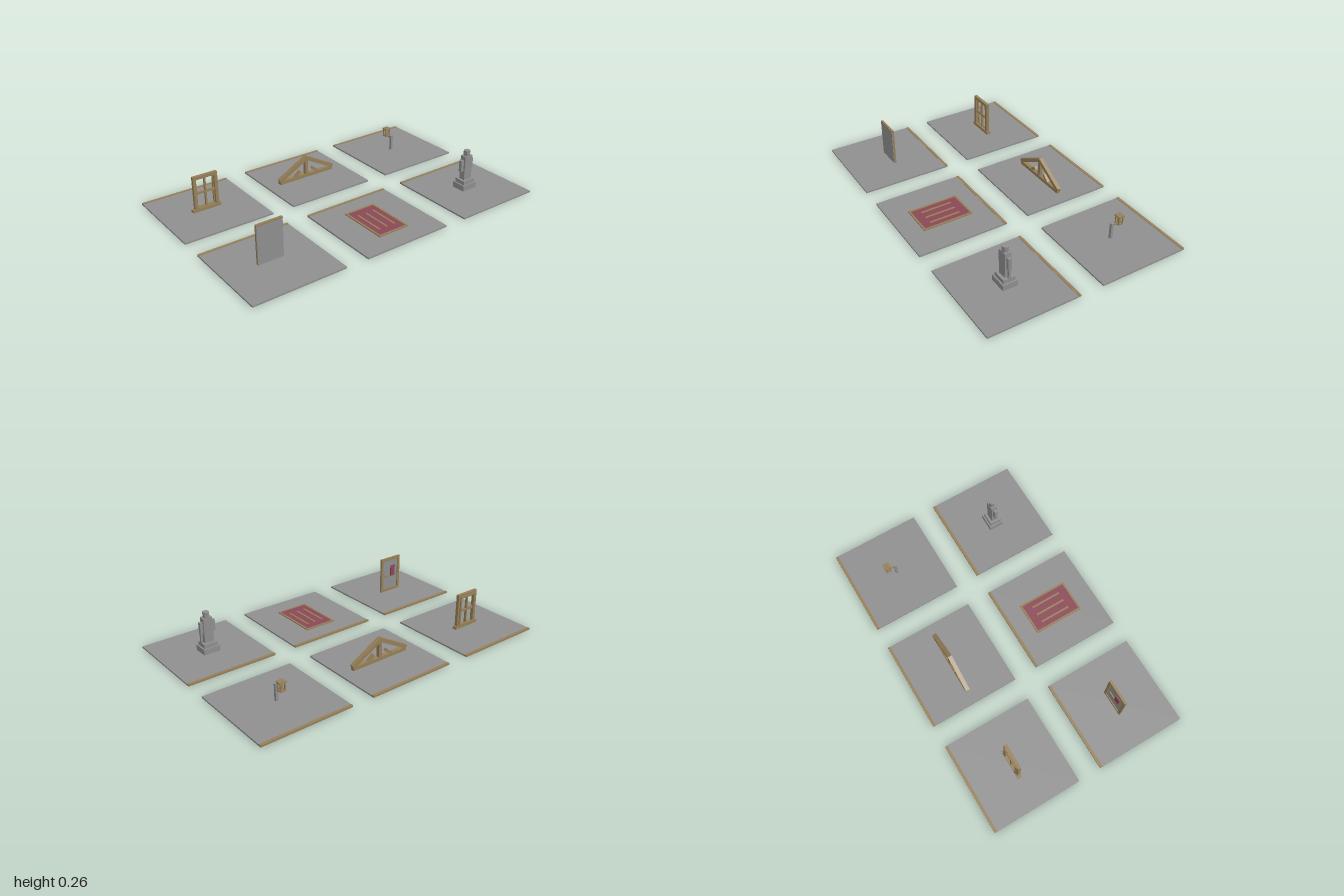
import * as THREE from 'three';

const mat = (name, color) => {
  const m = new THREE.MeshStandardMaterial({ color });
  m.name = name;
  return m;
};

export function createModel() {
  const stone = mat('grey stone', 0x8f8f8f);
  const wood = mat('tan wood', 0x967f58);
  const red = mat('faded red', 0x8a4856);
  const model = new THREE.Group();
  const DX = 0.714, DZ = 0.358, TOP = 0.01;

  const group = (name, x, z) => {
    const g = new THREE.Group();
    g.name = name;
    g.position.set(x, 0, z);
    model.add(g);
    return g;
  };
  // Box given by its limits on each axis
  const box = (parent, name, m, [x0, x1], [y0, y1], [z0, z1]) => {
    const mesh = new THREE.Mesh(new THREE.BoxGeometry(x1 - x0, y1 - y0, z1 - z0), m);
    mesh.position.set((x0 + x1) / 2, (y0 + y1) / 2, (z0 + z1) / 2);
    mesh.name = name;
    parent.add(mesh);
    return mesh;
  };
  // Plank running between two points in the XY plane
  const beam = (parent, name, a, b, width, depth) => {
    const dx = b[0] - a[0], dy = b[1] - a[1];
    const mesh = new THREE.Mesh(new THREE.BoxGeometry(Math.hypot(dx, dy), width, depth), wood);
    mesh.position.set((a[0] + b[0]) / 2, (a[1] + b[1]) / 2, 0);
    mesh.rotation.z = Math.atan2(dy, dx);
    mesh.name = name;
    parent.add(mesh);
  };
  // Rectangular frame with an opening
  const frame = (parent, name, w, y0, y1, bar, [z0, z1]) => {
    const s = new THREE.Shape([[-w, y0], [w, y0], [w, y1], [-w, y1]].map(p => new THREE.Vector2(...p)));
    const i = w - bar;
    s.holes.push(new THREE.Path([[-i, y0 + bar], [-i, y1 - bar], [i, y1 - bar], [i, y0 + bar]].map(p => new THREE.Vector2(...p))));
    const mesh = new THREE.Mesh(new THREE.ExtrudeGeometry(s, { depth: z1 - z0, bevelEnabled: false }), wood);
    mesh.position.z = z0;
    mesh.name = name;
    parent.add(mesh);
    return mesh;
  };

  // Six display tiles, each with a wooden strip along its back edge
  for (const x of [-DX, 0, DX]) for (const z of [-DZ, DZ]) {
    const t = group('tile', x, z);
    box(t, 'slab', stone, [-0.286, 0.286], [0, TOP], [-0.283, 0.285]);
    box(t, 'backStrip', wood, [-0.286, 0.286], [0.001, 0.0125], [-0.285, -0.268]);
  }

  // Window with sill and crossed bars
  const win = group('window', -DX, -DZ);
  frame(win, 'windowFrame', 0.079, TOP, 0.237, 0.02, [-0.009, 0.011]);
  frame(win, 'windowSash', 0.065, 0.022, 0.224, 0.012, [-0.015, -0.003]);
  box(win, 'sill', wood, [-0.094, 0.091], [TOP, 0.027], [-0.014, 0.014]);
  box(win, 'upright', wood, [-0.005, 0.005], [0.025, 0.22], [-0.009, 0.005]);
  box(win, 'crossbar', wood, [-0.062, 0.062], [0.12, 0.132], [-0.009, 0.006]);

  // Roof truss
  const truss = group('roofTruss', 0, -DZ);
  box(truss, 'tieBeam', wood, [-0.2, 0.2], [TOP, 0.032], [-0.013, 0.013]);
  box(truss, 'kingPost', wood, [-0.011, 0.011], [0.03, 0.135], [-0.011, 0.011]);
  for (const s of [-1, 1]) {
    beam(truss, 'rafter', [s * 0.202, 0.032], [s * -0.004, 0.145], 0.024, 0.026);
    beam(truss, 'strut', [s * 0.09, 0.024], [s * 0.046, 0.06], 0.017, 0.02);
  }

  // Hanging lantern on a post
  const lantern = group('lanternPost', 0.711, -DZ);
  box(lantern, 'post', stone, [-0.008, 0.008], [TOP, 0.113], [-0.002, 0.014]);
  box(lantern, 'arm', wood, [-0.003, 0.003], [0.094, 0.101], [-0.05, 0]);
  const L = -0.045;
  box(lantern, 'lanternRoof', wood, [-0.022, 0.022], [0.145, 0.152], [L - 0.02, L + 0.02]);
  box(lantern, 'lanternBase', wood, [-0.018, 0.018], [0.094, 0.101], [L - 0.017, L + 0.017]);
  for (const x of [-0.014, 0.014]) for (const z of [-0.013, 0.013])
    box(lantern, 'lanternBar', wood, [x - 0.003, x + 0.003], [0.1, 0.146], [L + z - 0.003, L + z + 0.003]);
  box(lantern, 'candle', wood, [-0.006, 0.006], [0.1, 0.13], [L - 0.006, L + 0.006]);

  // Door: stone-grey front, framed back with a red plate and latch
  const door = group('door', -0.7125, 0.35);
  box(door, 'doorPanel', stone, [-0.08, 0.08], [TOP, 0.241], [-0.001, 0.007]);
  frame(door, 'doorFrame', 0.0815, TOP, 0.25, 0.018, [-0.008, 0.002]);
  box(door, 'topRail', wood, [-0.0815, 0.0815], [0.24, 0.25], [-0.002, 0.007]);
  box(door, 'redPlate', red, [-0.038, -0.003], [0.115, 0.19], [-0.008, 0]);
  box(door, 'latch', wood, [0.005, 0.05], [0.113, 0.122], [-0.008, 0]);

  // Rug with border and stripes
  const rug = group('rug', 0, DZ);
  box(rug, 'rugField', red, [-0.1, 0.1], [TOP, 0.015], [-0.152, 0.152]);
  const border = frame(rug, 'rugBorder', 0.105, -0.16, 0.16, 0.012, [0, 0.007]);
  border.rotation.x = -Math.PI / 2;
  border.position.y = TOP;
  for (const x of [-0.055, 0, 0.055])
    box(rug, 'rugStripe', wood, [x - 0.006, x + 0.006], [0.014, 0.017], [-0.098, 0.098]);

  // Statue on a stepped plinth
  const statue = group('statue', 0.712, DZ);
  box(statue, 'plinth', stone, [-0.054, 0.054], [TOP, 0.046], [-0.046, 0.046]);
  box(statue, 'plinthStep', stone, [-0.044, 0.044], [0.046, 0.071], [-0.037, 0.037]);
  box(statue, 'body', stone, [-0.029, 0.029], [0.071, 0.228], [-0.02, 0.02]);
  const head = new THREE.Mesh(new THREE.CylinderGeometry(0.02, 0.02, 0.035, 8).toNonIndexed(), stone);
  head.geometry.computeVertexNormals();
  head.position.y = 0.2445;
  head.name = 'head';
  statue.add(head);
  box(statue, 'raisedArm', stone, [-0.05, -0.028], [0.13, 0.203], [-0.01, 0.01]);
  box(statue, 'loweredArm', stone, [0.028, 0.048], [0.13, 0.203], [-0.01, 0.01]);
  box(statue, 'staff', stone, [0.035, 0.047], [0.07, 0.14], [-0.007, 0.007]);

  return model;
}
